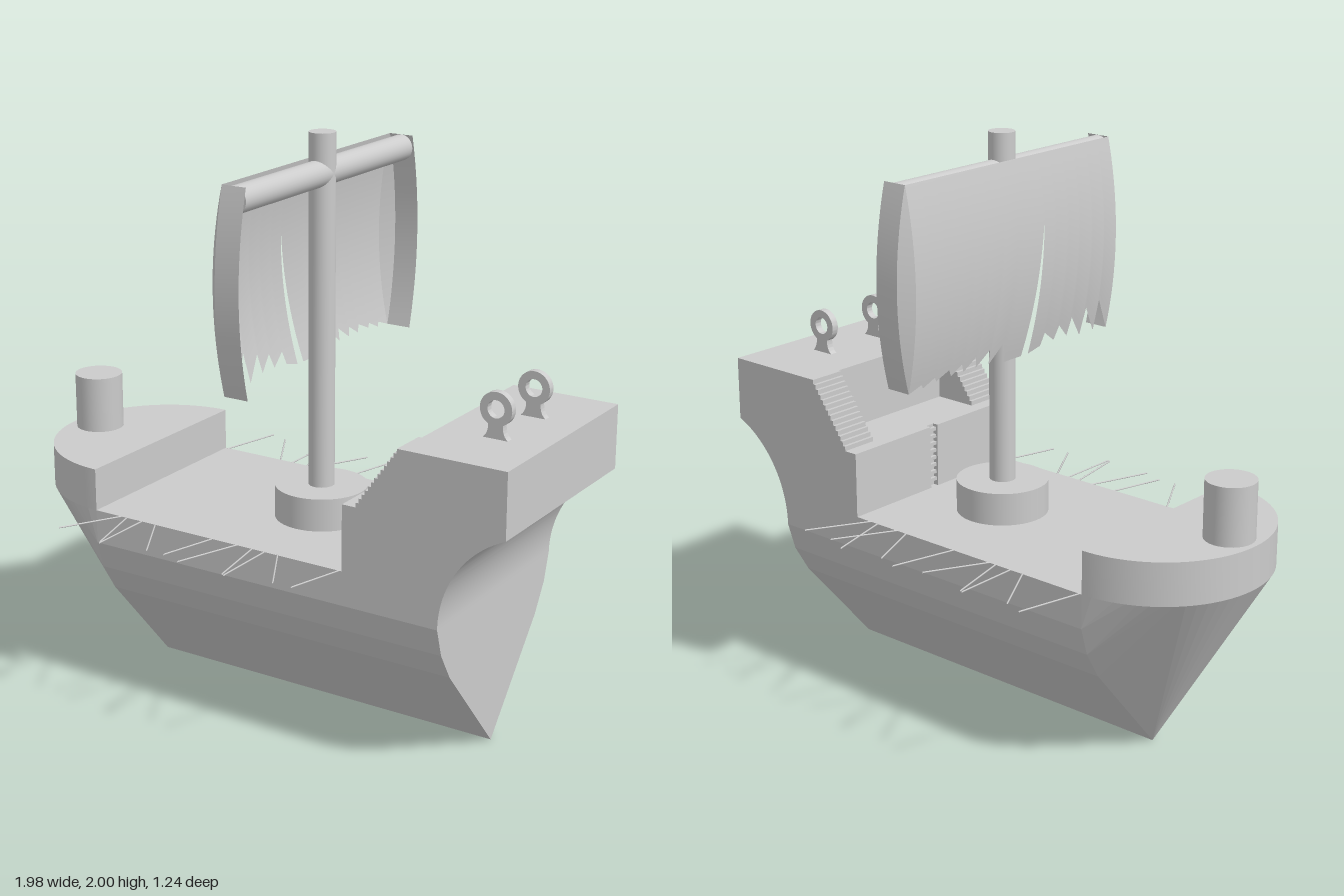
import * as THREE from 'three';
import { toCreasedNormals } from 'three/addons/utils/BufferGeometryUtils.js';
import { ConvexGeometry } from 'three/addons/geometries/ConvexGeometry.js';

const grey = new THREE.MeshStandardMaterial({ color: 0xcccccc });
const sheet = new THREE.MeshStandardMaterial({ color: 0xcccccc, side: THREE.DoubleSide });
const V = (x, y, z) => new THREE.Vector3(x, y, z);

export function createModel() {
  const ship = new THREE.Group();
  const add = (name, geo, x = 0, y = 0, z = 0, mat = grey) => {
    const m = new THREE.Mesh(geo, mat);
    m.name = name;
    m.position.set(x, y, z);
    ship.add(m);
    return m;
  };
  const shapeOf = pts => new THREE.Shape(pts.map(p => new THREE.Vector2(...p)));
  const extrude = (shape, depth) =>
    new THREE.ExtrudeGeometry(shape, { depth, bevelEnabled: false, curveSegments: 24 });

  // Hull: V-shaped section swept along x
  const half = [[0.3, 0.35], [0.36, 0.45], [0.39, 0.55], [0.39, 0.67]];
  const section = [[0, 0], ...half, ...half.map(([z, y]) => [-z, y]).reverse()];
  const hull = extrude(shapeOf(section), 1.355);
  hull.rotateY(Math.PI / 2);
  add('hull', hull, -0.6);

  // Bow: hull section drawn out to the round forecastle edge
  const bow = section.map(([z, y]) => V(-0.6, y, z));
  for (let i = 1; i < 32; i++) {
    const a = (i / 32) * Math.PI;
    bow.push(V(-0.6 - 0.39 * Math.sin(a), 0.67, 0.39 * Math.cos(a)));
  }
  add('bow', new ConvexGeometry(bow));

  const round = new THREE.Shape();
  round.absarc(0, 0, 0.39, Math.PI / 2, Math.PI * 1.5, false);
  const fore = toCreasedNormals(extrude(round, 0.15), 0.5);
  fore.rotateX(-Math.PI / 2);
  add('forecastle', fore, -0.6, 0.67);
  add('bowPost', new THREE.CylinderGeometry(0.085, 0.085, 0.2, 32), -0.885, 0.92);

  // Stern castle with a hollowed overhang
  const stern = new THREE.Shape();
  stern.moveTo(0.42, 0.55);
  stern.lineTo(0.755, 0.55);
  stern.absarc(1.136, 0.55, 0.381, Math.PI, Math.PI - 1.165, true);
  stern.lineTo(0.985, 1.125);
  stern.lineTo(0.61, 1.125);
  stern.lineTo(0.61, 0.9);
  stern.lineTo(0.42, 0.9);
  stern.closePath();
  add('sternCastle', toCreasedNormals(extrude(stern, 0.78), 0.5), 0, 0, -0.39);

  // Front wall of the castle, split by a recessed ladder
  for (const s of [1, -1])
    add('sternWall', new THREE.BoxGeometry(0.02, 0.25, 0.372), 0.41, 0.775, s * 0.204);
  for (let i = 0; i < 8; i++)
    add('ladderRung', new THREE.BoxGeometry(0.012, 0.012, 0.036), 0.412, 0.695 + i * 0.027);

  // Stairs on both sides
  const n = 14, run = 0.16 / n, rise = 0.225 / n;
  const steps = [[0.61, 0.9], [0.61, 1.125]];
  for (let i = n; i > 0; i--)
    steps.push([0.45 + (i - 1) * run, 0.9 + i * rise], [0.45 + (i - 1) * run, 0.9 + (i - 1) * rise]);
  for (const z of [-0.39, 0.255])
    add('stairs', extrude(shapeOf(steps.reverse()), 0.135), 0, 0, z);

  // Ring lugs on the stern deck
  const lug = new THREE.Shape();
  lug.moveTo(-0.045, 0);
  lug.lineTo(0.045, 0);
  lug.quadraticCurveTo(0.025, 0.015, 0.026, 0.049);
  lug.absarc(0, 0.098, 0.057, -1.1, Math.PI + 1.1, false);
  lug.quadraticCurveTo(-0.025, 0.015, -0.045, 0);
  const hole = new THREE.Path();
  hole.absarc(0, 0.098, 0.03, 0, Math.PI * 2, true);
  lug.holes.push(hole);
  for (const z of [-0.13, 0.13])
    add('ringLug', toCreasedNormals(extrude(lug, 0.026), 0.6), 0.81, 1.125, z - 0.013);

  // Mast and yard
  const mx = 0.075;
  add('mastBase', new THREE.CylinderGeometry(0.16, 0.16, 0.115, 48), mx, 0.7275);
  add('mast', new THREE.CylinderGeometry(0.045, 0.045, 1.33, 32), mx, 1.335);
  add('yard', new THREE.CylinderGeometry(0.045, 0.045, 1.01, 32), mx, 1.865).rotation.x = Math.PI / 2;

  // Sail: sheets of columns, each running from the yard to the torn hem
  const top = 1.91, low = 1.225, rows = 20;
  const bulge = y => 1 - ((y - (top + low) / 2) / ((top - low) / 2)) ** 2;
  const grid = (name, hem, place) => {
    const pos = [], idx = [];
    hem.forEach(([c, y0], i) => {
      for (let j = 0; j <= rows; j++) {
        const y = top + (y0 - top) * j / rows;
        pos.push(...place(c, y));
        if (i && j) {
          const a = i * (rows + 1) + j, b = a - rows - 1;
          idx.push(a, a - 1, b, b, a - 1, b - 1);
        }
      }
    });
    const g = new THREE.BufferGeometry();
    g.setAttribute('position', new THREE.Float32BufferAttribute(pos, 3));
    g.setIndex(idx);
    g.computeVertexNormals();
    add(name, g, 0, 0, 0, sheet);
  };
  // A slit opens below y = 1.70 between the two cloth halves
  const cloth = (hem, outer, inner) => grid('sail', hem, (c, y) => {
    const open = Math.max(0, (1.7 - y) / (1.7 - low));
    const edge = 0.127 + (inner - 0.127) * open;
    return [0.03 - 0.04 * bulge(y), y, outer + (edge - outer) * (c - outer) / (inner - outer)];
  });
  cloth([[0.505, 1.225], [0.435, 1.345], [0.43, 1.23], [0.365, 1.33], [0.355, 1.23], [0.29, 1.31],
    [0.28, 1.245], [0.225, 1.295], [0.21, 1.245], [0.15, 1.285], [0.14, 1.24], [0.08, 1.225]], 0.505, 0.08);
  cloth([[0.045, 1.225], [-0.045, 1.225], [-0.07, 1.3], [-0.125, 1.235], [-0.135, 1.29], [-0.19, 1.24],
    [-0.2, 1.28], [-0.25, 1.24], [-0.265, 1.27], [-0.31, 1.24], [-0.325, 1.265], [-0.38, 1.24],
    [-0.39, 1.255], [-0.44, 1.23], [-0.45, 1.245], [-0.505, 1.225]], -0.505, 0.045);
  // Side flaps and slanted corners of the sail
  for (const s of [1, -1]) {
    const side = y => s * (0.505 + 0.045 * bulge(y));
    grid('sailFlap', [[0.03, low], [0.12, low]], (c, y) => [c, y, side(y)]);
    grid('sailCorner', [[0, low], [1, low]], (c, y) =>
      c ? [0.03, y, side(y)] : [0.03 - 0.04 * bulge(y), y, s * 0.505]);
  }

  // Oars: [x at the rail, x at the tip, reach]
  const oars = {
    '-1': [[-0.59, -0.535, 0.615], [-0.35, -0.465, 0.59], [-0.3, -0.3, 0.62], [-0.235, -0.29, 0.615],
      [-0.21, -0.1, 0.59], [-0.05, 0.01, 0.615], [0.17, 0.085, 0.59], [0.21, 0.325, 0.59],
      [0.305, 0.245, 0.62], [0.335, 0.45, 0.59]],
    '1': [[-0.49, -0.605, 0.585], [-0.47, -0.41, 0.61], [-0.405, -0.405, 0.62], [-0.35, -0.235, 0.585],
      [-0.11, -0.165, 0.585], [-0.01, -0.09, 0.61], [0.05, 0.09, 0.615], [0.1, 0.1, 0.62],
      [0.15, 0.265, 0.585], [0.39, 0.335, 0.585]],
  };
  for (const s of [-1, 1])
    for (const [x0, x1, reach] of oars[s]) {
      const path = new THREE.LineCurve3(V(x0, 0.669, s * 0.385), V(x1, 0.669, s * reach));
      add('oar', new THREE.TubeGeometry(path, 1, 0.003, 6), 0, 0, 0, sheet);
    }

  return ship;
}
